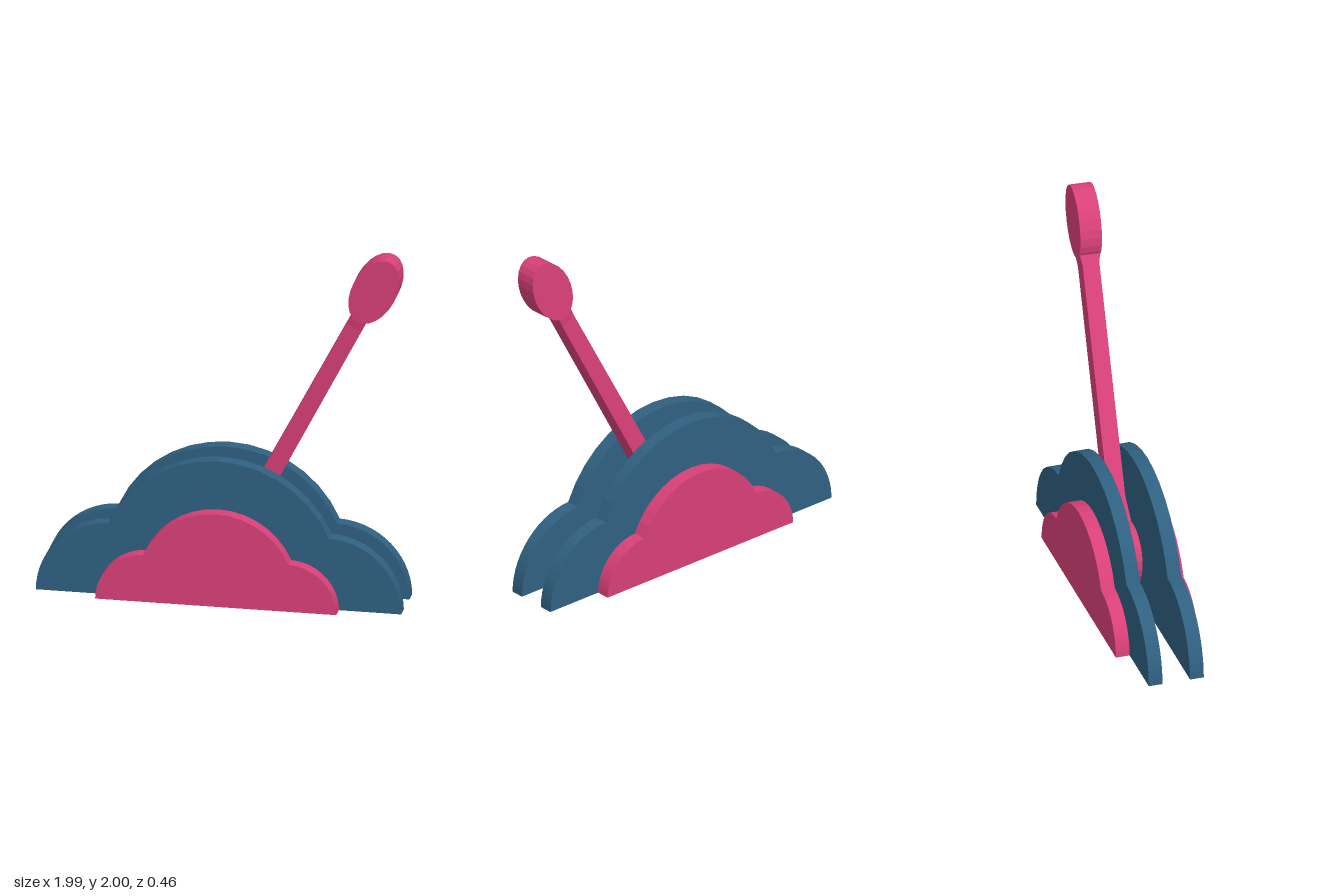
import * as THREE from 'three';

const blue = new THREE.MeshStandardMaterial({ color: 0x2f6080, flatShading: true });
const pink = new THREE.MeshStandardMaterial({ color: 0xd84078, flatShading: true });

function part(name, geometry, material) {
  const mesh = new THREE.Mesh(geometry, material);
  mesh.name = name;
  return mesh;
}

// Three-lobed cloud outline with a flat bottom, extruded from z = 0 to depth
function cloud(k, depth) {
  const lobe = 0.405, cx = 0.588, notch = 0.6, midY = 0.147, midR = 0.653;
  const a = Math.atan2(lobe - midY, notch);
  const shape = new THREE.Shape();
  shape.moveTo(-(cx + lobe) * k, 0);
  shape.absarc(-cx * k, 0, lobe * k, Math.PI, Math.PI / 2 + 0.03, true);
  shape.absarc(0, midY * k, midR * k, Math.PI - a, a, true);
  shape.absarc(cx * k, 0, lobe * k, Math.PI / 2 - 0.03, 0, true);
  shape.closePath();
  return new THREE.ExtrudeGeometry(shape, { depth, bevelEnabled: false, curveSegments: 7 });
}

// Flat elliptical disc facing z
function disc(rx, ry, depth) {
  return new THREE.CylinderGeometry(1, 1, depth, 24).rotateX(Math.PI / 2).scale(rx, ry, 1);
}

// Rectangular shaft through sections of [distance, half width, half thickness]
function shaft(sections) {
  const n = sections.length - 1;
  const geo = new THREE.BoxGeometry(2, n, 2, 1, n, 1);
  const p = geo.attributes.position;
  for (let i = 0; i < p.count; i++) {
    const [s, w, t] = sections[Math.round(p.getY(i) + n / 2)];
    p.setXYZ(i, p.getX(i) * w, s, p.getZ(i) * t);
  }
  geo.computeVertexNormals();
  return geo;
}

export function createModel() {
  const model = new THREE.Group();
  const depth = 0.077;

  // Mirrored pairs of cloud plates
  for (const [side, z] of [['front', 1], ['back', -1]]) {
    const plate = part(side + 'CloudPlate', cloud(1, depth), blue);
    plate.position.z = z > 0 ? depth : -2 * depth;
    const inset = part(side + 'CloudInset', cloud(0.66, depth), pink);
    inset.position.z = z > 0 ? 2 * depth : -3 * depth;
    model.add(plate, inset);
  }

  // Leaning lever between the plates
  const lever = new THREE.Group();
  lever.name = 'lever';
  const head = part('leverHead', disc(0.119, 0.199, 0.121), pink);
  head.position.y = 1.795;
  lever.add(
    part('leverBase', disc(0.175, 0.175, 0.136), pink),
    part('leverShaft', shaft([
      [0.15, 0.05, 0.067], [0.31, 0.05, 0.047],
      [1.55, 0.046, 0.047], [1.63, 0.046, 0.058],
    ]), pink),
    head,
  );
  lever.position.set(0.01, 0.225, 0.006);
  lever.rotation.set(0.036, 0, -0.48);
  model.add(lever);
  return model;
}
